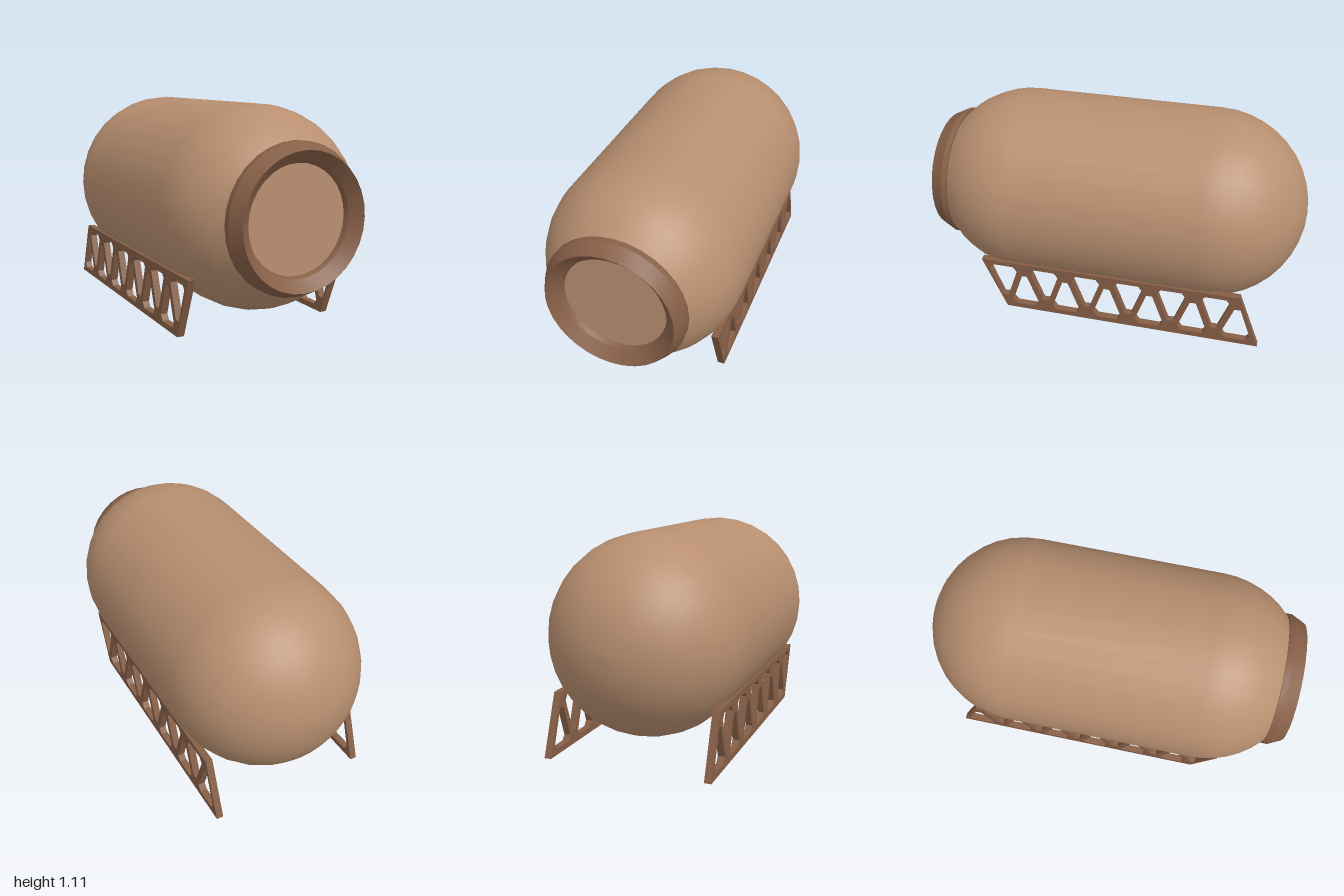
import * as THREE from 'three';
import { toCreasedNormals } from 'three/addons/utils/BufferGeometryUtils.js';

const R = 0.51, AXIS_Y = 0.595, SEGMENTS = 32;

// Revolve a [radius, z] profile around the z axis
function revolve(profile) {
  const pts = profile.map(([r, z]) => new THREE.Vector2(r, z));
  return new THREE.LatheGeometry(pts, SEGMENTS).rotateX(Math.PI / 2);
}

function polygon(points, Type = THREE.Path) {
  const p = new Type();
  points.forEach(([u, v], i) => (i ? p.lineTo(u, v) : p.moveTo(u, v)));
  p.closePath();
  return p;
}

// Slanted truss plate with alternating wedge cutouts
function trussGeometry(thickness) {
  const shape = polygon([[0.575, 0], [0.7, 0.31], [-0.715, 0.31], [-0.83, 0]], THREE.Shape);
  const wedge = [[-0.056, 0], [0.056, 0], [0.077, 0.028], [0.016, 0.2], [-0.016, 0.2], [-0.077, 0.028]];
  for (let i = 0; i < 6; i++) {
    const z = 0.578 - i * 0.234;
    shape.holes.push(polygon(wedge.map(([u, v]) => [z + u, 0.283 - v])));
    shape.holes.push(polygon(wedge.map(([u, v]) => [z - 0.117 + u, 0.03 + v])));
  }
  const g = new THREE.ExtrudeGeometry(shape, { depth: thickness, bevelEnabled: false });
  return g.rotateY(-Math.PI / 2).translate(thickness / 2, 0, 0);
}

export function createModel() {
  const model = new THREE.Group();
  model.name = 'tank';
  const tan = new THREE.MeshStandardMaterial({ color: 0xb88f70 });
  tan.name = 'tan shell';
  const brown = new THREE.MeshStandardMaterial({ color: 0x875f47 });
  brown.name = 'brown trim';

  const add = (name, geometry, material, x, y) => {
    const mesh = new THREE.Mesh(geometry, material);
    mesh.name = name;
    mesh.position.set(x, y, 0);
    model.add(mesh);
  };

  // Body: round back dome, straight barrel, truncated front dome
  const profile = [];
  for (let i = 0; i <= 10; i++) {
    const a = (i / 10) * Math.PI / 2;
    profile.push([R * Math.sin(a), -0.49 - R * Math.cos(a)]);
  }
  const end = Math.asin(0.37 / R);
  for (let i = 0; i <= 6; i++) {
    const a = (i / 6) * end;
    profile.push([R * Math.cos(a), 0.53 + R * Math.sin(a)]);
  }
  add('body', revolve(profile), tan, 0, AXIS_Y);

  // Hatch collar: bevelled outside, funnelled inside
  const collar = revolve([[0.34, 0.9], [0.36, 0.9], [0.36, 0.93], [0.325, 1], [0.27, 0.95], [0.26, 0.925]]);
  add('hatchCollar', toCreasedNormals(collar, 0.4), brown, 0, AXIS_Y);

  // Recessed hatch door
  const door = new THREE.CircleGeometry(0.262, SEGMENTS).translate(0, 0, 0.926);
  add('hatchDoor', door, tan, 0, AXIS_Y);

  // Support skids
  const truss = trussGeometry(0.036);
  add('leftSupport', truss, brown, 0.418, 0);
  add('rightSupport', truss, brown, -0.418, 0);

  return model;
}
